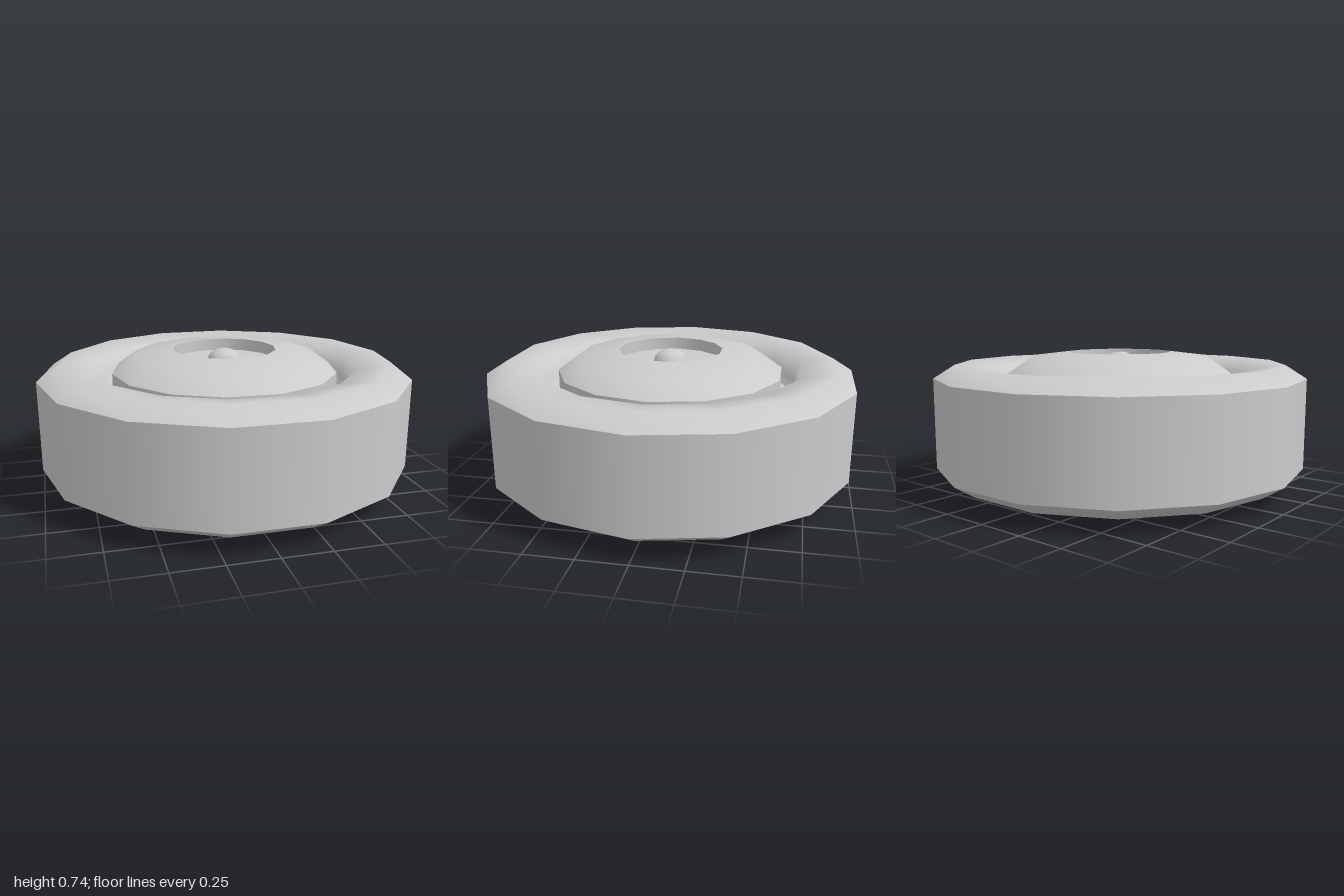
import * as THREE from 'three';

const SIDES = 14;
const HEIGHT = 0.74;

// Each profile is a smooth strip; creases fall between strips.
function ring(name, profile, material) {
  const points = profile.map(([r, y]) => new THREE.Vector2(r, y));
  const mesh = new THREE.Mesh(new THREE.LatheGeometry(points, SIDES, Math.PI / 2), material);
  mesh.name = name;
  return mesh;
}

const flip = (profile) => profile.map(([r, y]) => [r, HEIGHT - y]).reverse();

export function createModel() {
  const model = new THREE.Group();
  model.name = 'wheel';
  const grey = new THREE.MeshStandardMaterial({ color: 0xcccccc });

  // Tread band round the outside
  model.add(ring('tread', [[1, 0.13], [1, 0.61]], grey));

  // Upper half of each face, listed from the rim towards the axle
  const faceParts = {
    sidewall: [[1, 0.61], [0.89, 0.68], [0.71, 0.65], [0.68, 0.56], [0.64, 0.52]],
    grooveFloor: [[0.64, 0.52], [0.61, 0.52]],
    hubEdge: [[0.61, 0.52], [0.61, 0.63]],
    hubDome: [[0.61, 0.63], [0.49, 0.715], [0.28, 0.74]],
    recessWall: [[0.28, 0.74], [0.28, 0.675]],
    recessFloor: [[0.28, 0.675], [0, 0.675]],
    axleButton: [[0.093, 0.673], [0.085, 0.7], [0.065, 0.722], [0.035, 0.735], [0, 0.738]],
  };

  // The two faces mirror each other
  for (const side of ['upper', 'lower']) {
    const face = new THREE.Group();
    face.name = side + 'Face';
    for (const [name, profile] of Object.entries(faceParts)) {
      face.add(ring(name, side === 'upper' ? profile : flip(profile), grey));
    }
    model.add(face);
  }
  return model;
}
